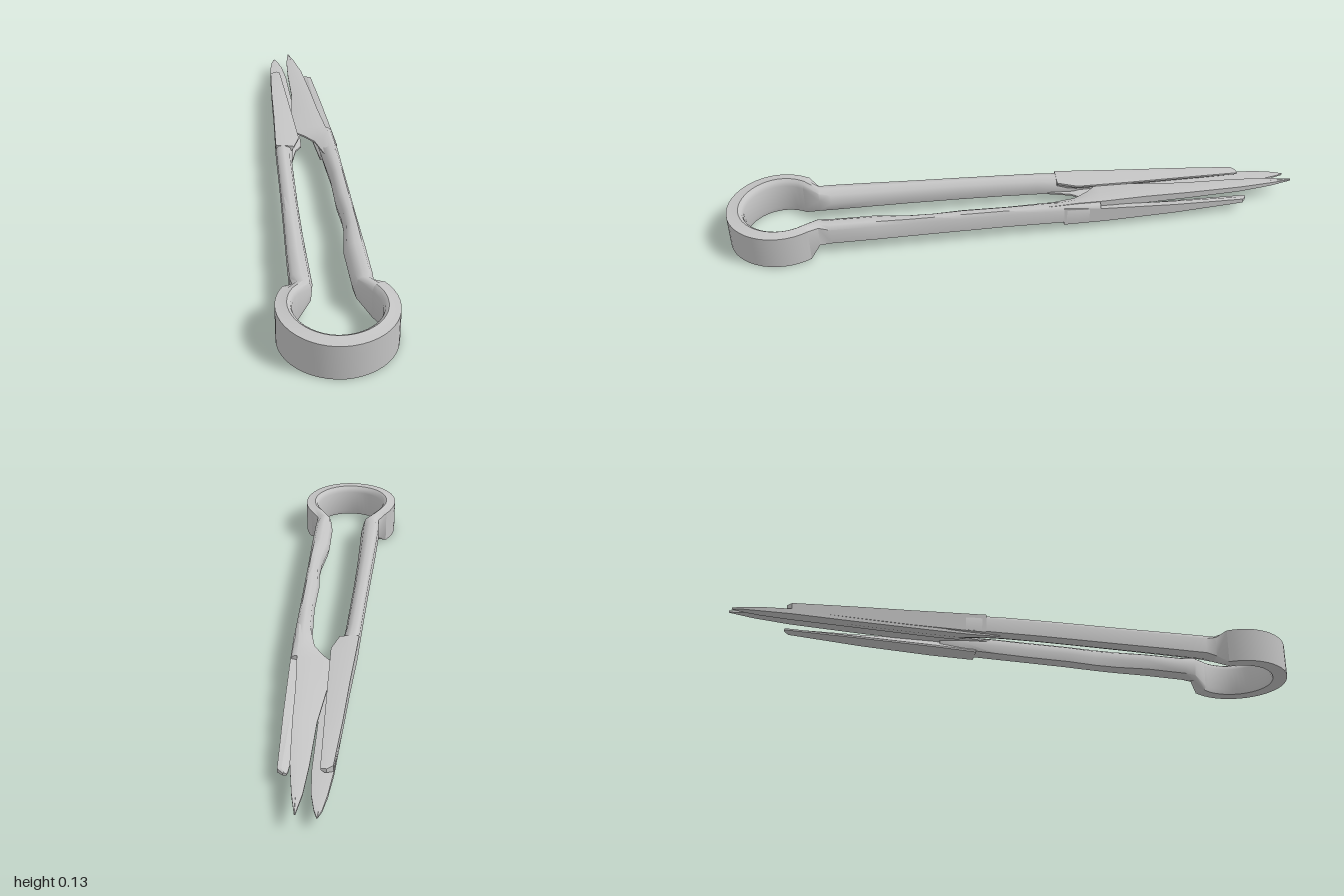
import * as THREE from 'three';
import { mergeVertices, toCreasedNormals } from 'three/addons/utils/BufferGeometryUtils.js';

// Closed loft through equal-length rings of [x, y, z], turned to face outward
function loft(rings, crease = 0.7) {
  const n = rings[0].length, pos = rings.flat(2), idx = [];
  for (let i = 0; i < rings.length - 1; i++) {
    for (let j = 0; j < n; j++) {
      const a = i * n + j, b = i * n + (j + 1) % n;
      idx.push(a, b, a + n, b, b + n, a + n);
    }
  }
  const last = (rings.length - 1) * n;
  for (let j = 1; j < n - 1; j++) {
    idx.push(0, j + 1, j, last, last + j, last + j + 1);
  }
  const v = (k) => new THREE.Vector3().fromArray(pos, idx[k] * 3);
  let volume = 0;
  for (let k = 0; k < idx.length; k += 3) volume += v(k).dot(v(k + 1).cross(v(k + 2)));
  if (volume < 0) idx.reverse();
  const g = new THREE.BufferGeometry();
  g.setAttribute('position', new THREE.Float32BufferAttribute(pos, 3));
  g.setIndex(idx);
  return toCreasedNormals(mergeVertices(g), crease);
}

// Unit sections: u runs from the outer to the inner face, v from bottom to top
const BOW = [[0, 0], [0, 0.98], [0.4, 1], [0.7, 1.03], [0.9, 0.97], [1, 0.85], [1, 0.15], [0.9, 0]];
const ARM = [[0, 0.15], [0, 0.8], [0.15, 0.97], [0.5, 1], [0.85, 0.85], [1, 0.5], [0.9, 0.15], [0.4, 0]];

// Section spanning outer point [x, z] to inner point [x, z]; k blends bow into arm
const section = (out, inn, y0, y1, k) => BOW.map(([bu, bv], i) => {
  const u = THREE.MathUtils.lerp(bu, ARM[i][0], k);
  const w = THREE.MathUtils.lerp(bv, ARM[i][1], k);
  return [out[0] + (inn[0] - out[0]) * u, y0 + (y1 - y0) * w, out[1] + (inn[1] - out[1]) * u];
});

const BOW_END = 2.15;
function bowSection(t) {
  const s = Math.sin(t), c = Math.cos(t);
  const top = 0.123 + 0.008 * Math.max(0, -s) * Math.abs(s);
  return section([0.182 * s, 0.82 + 0.18 * c], [0.132 * s, 0.815 + 0.128 * c],
    0.002 + 0.003 * Math.abs(s), top, 0);
}

// Arm stations: z, outer x, inner x, bottom y, top y
const ARM_PATH = [
  [0.69, 0.122, 0.068, 0.028, 0.12], [0.65, 0.126, 0.057, 0.03, 0.116],
  [0.5, 0.124, 0.06, 0.03, 0.113], [0.38, 0.121, 0.068, 0.03, 0.111],
  [0.3, 0.119, 0.073, 0.03, 0.11], [0.2, 0.117, 0.066, 0.03, 0.109],
  [0.05, 0.114, 0.06, 0.03, 0.107], [-0.08, 0.112, 0.058, 0.028, 0.104],
  [-0.2, 0.11, 0.045, 0.027, 0.099], [-0.28, 0.106, 0.05, 0.028, 0.095],
];

function armGeometry(side) {
  const rings = ARM_PATH.map(([z, xo, xi, y0, y1], i) => {
    const inner = side > 0 ? xi + 0.004 * Math.sin(i * 2.4) : Math.min(xi, 0.062);
    return section([side * xo, z], [side * inner, z], y0, y1, Math.min(1, 0.6 + i * 0.4));
  });
  return loft([bowSection(side * BOW_END), ...rings], 0.9);
}

// Wedge stations: z, spine x, edge x, spine bottom y, spine top y, edge y
const wedge = (rows) => loft(rows.map(([z, xs, xe, y0, y1, ye]) => [
  [xs, y0, z], [xs, y1, z],
  [xs + (xe - xs) * 0.4, y1 * 0.85 + ye * 0.15 + 0.002, z],
  [xe, ye + 0.003, z], [xe, ye - 0.003, z],
  [xs + (xe - xs) * 0.4, y0 * 0.85 + ye * 0.15 - 0.002, z],
]), 0.5);

export function createModel() {
  const model = new THREE.Group();
  const metal = new THREE.MeshStandardMaterial({ color: 0xc4c4c4 });
  metal.name = 'greyMetal';
  const add = (name, geometry) => {
    const mesh = new THREE.Mesh(geometry, metal);
    mesh.name = name;
    model.add(mesh);
  };

  // Spring bow
  const bow = [];
  for (let i = 0; i <= 32; i++) bow.push(bowSection(BOW_END * (i / 16 - 1)));
  add('springBow', loft(bow));

  // Arms
  add('leftArm', armGeometry(1));
  add('rightArm', armGeometry(-1));

  // Left blade passes over the right one
  add('leftBlade', wedge([
    [-0.1, 0.1, 0.06, 0.07, 0.102, 0.085], [-0.2, 0.09, 0.035, 0.065, 0.1, 0.08],
    [-0.25, 0.087, 0.0, 0.064, 0.098, 0.078], [-0.29, 0.084, -0.04, 0.063, 0.096, 0.076],
    [-0.45, 0.068, -0.03, 0.062, 0.09, 0.073], [-0.6, 0.058, -0.018, 0.06, 0.084, 0.07],
    [-0.8, 0.04, -0.018, 0.057, 0.076, 0.067], [-0.92, 0.02, -0.013, 0.056, 0.069, 0.063],
    [-1, 0.002, -0.002, 0.059, 0.063, 0.061],
  ]));
  // Outer wall of the left blade, ending short of the tip
  add('leftBladeWall', wedge([
    [-0.15, 0.111, 0.05, 0.028, 0.095, 0.035], [-0.3, 0.106, 0.035, 0.026, 0.08, 0.032],
    [-0.55, 0.094, 0.035, 0.028, 0.063, 0.034], [-0.8, 0.078, 0.045, 0.035, 0.05, 0.04],
    [-0.815, 0.06, 0.048, 0.038, 0.046, 0.041],
  ]));

  // Right blade runs beneath
  add('rightBlade', wedge([
    [-0.1, -0.1, -0.06, 0.03, 0.06, 0.045], [-0.2, -0.1, -0.035, 0.026, 0.06, 0.045],
    [-0.23, -0.1, -0.012, 0.026, 0.058, 0.046], [-0.32, -0.1, -0.01, 0.026, 0.057, 0.046],
    [-0.6, -0.095, -0.018, 0.03, 0.054, 0.047], [-0.8, -0.09, -0.024, 0.035, 0.053, 0.047],
    [-0.9, -0.082, -0.034, 0.037, 0.051, 0.046], [-0.96, -0.073, -0.048, 0.04, 0.048, 0.045],
    [-0.99, -0.063, -0.059, 0.042, 0.046, 0.044],
  ]));
  // Outer wall of the right blade
  add('rightBladeWall', wedge([
    [-0.15, -0.111, -0.045, 0.035, 0.101, 0.092], [-0.22, -0.109, -0.022, 0.035, 0.098, 0.088],
    [-0.4, -0.102, -0.03, 0.037, 0.091, 0.082], [-0.6, -0.097, -0.04, 0.042, 0.083, 0.077],
    [-0.8, -0.088, -0.05, 0.05, 0.075, 0.071], [-0.815, -0.07, -0.052, 0.06, 0.073, 0.07],
  ]));

  return model;
}
